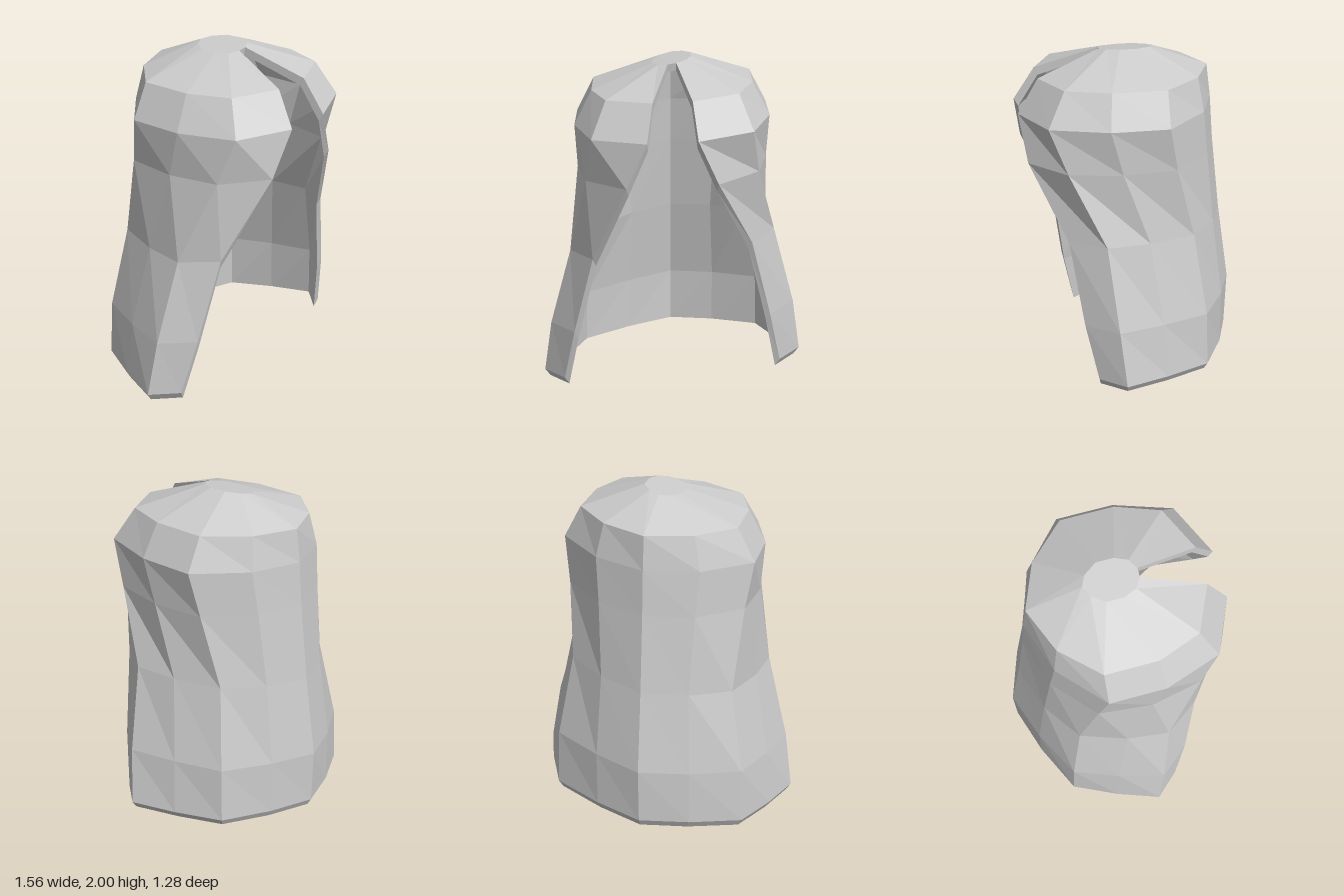
import * as THREE from 'three';

// Half rings from the front slit round to the back: [x, z] pairs.
// Each ring's height is y at the centre, plus a sideways tilt.
const RINGS = [
  { y: 1.98, tilt: 0.18, half: [[0.025, 0.16], [0.08, 0.125], [0.11, 0.05], [0.11, -0.05], [0.06, -0.125], [0, -0.155]] },
  { y: 1.85, tilt: 0.05, half: [[0.11, 0.52], [0.37, 0.4], [0.46, 0.15], [0.46, -0.16], [0.26, -0.37], [0, -0.475]] },
  { y: 1.655, tilt: 0.05, half: [[0.14, 0.64], [0.45, 0.5], [0.56, 0.17], [0.56, -0.16], [0.3, -0.4], [0, -0.5]] },
  { y: 1.39, tilt: 0.055, half: [[0.255, 0.6], [0.49, 0.4], [0.55, 0.1], [0.52, -0.21], [0.28, -0.43], [0, -0.52]] },
  { y: 0.935, tilt: 0.11, half: [[0.46, 0.4], [0.6, 0.2], [0.57, -0.05], [0.48, -0.32], [0.26, -0.48], [0, -0.57]] },
  { y: 0.45, tilt: 0.095, half: [[0.58, 0.33], [0.73, 0.15], [0.66, -0.12], [0.56, -0.39], [0.28, -0.54], [0, -0.64]] },
  { y: 0.12, tilt: 0.09, half: [[0.65, 0.26], [0.78, 0.115], [0.69, -0.14], [0.57, -0.4], [0.28, -0.54], [0, -0.63]] },
];
const LAST_ROW = RINGS.length - 1;
const LAST_COL = 10;

// Mirror each half ring; the lining is a slightly smaller, lower copy
function makeGrid(scale, drop) {
  return RINGS.map(({ y, tilt, half }) => {
    const mirrored = half.slice(0, -1).reverse().map(([x, z]) => [-x, z]);
    return [...half, ...mirrored].map(([x, z]) => [x * scale, y + tilt * x - drop, z * scale]);
  });
}

function makeMesh(name, material, triangles) {
  const geometry = new THREE.BufferGeometry();
  geometry.setAttribute('position', new THREE.Float32BufferAttribute(triangles.flat(), 3));
  geometry.computeVertexNormals();
  const mesh = new THREE.Mesh(geometry, material);
  mesh.name = name;
  return mesh;
}

const quad = (a, b, c, d) => [a, b, c, a, c, d];

// Walls plus crown cap, facing outward or inward
function shell(grid, inward) {
  const tris = [];
  for (let r = 0; r < LAST_ROW; r++) {
    for (let i = 0; i < LAST_COL; i++) {
      tris.push(...quad(grid[r][i], grid[r + 1][i], grid[r + 1][i + 1], grid[r][i + 1]));
    }
  }
  const centre = [0, grid[0][5][1], 0];
  grid[0].forEach((p, i) => tris.push(centre, p, grid[0][(i + 1) % grid[0].length]));
  return inward ? tris.reverse() : tris;
}

export function createModel() {
  const cloth = new THREE.MeshStandardMaterial({ color: 0xcccccc });
  cloth.name = 'light grey';
  cloth.flatShading = true;

  const group = new THREE.Group();
  group.name = 'hoodedCape';
  const outer = makeGrid(1, 0);
  const inner = makeGrid(0.96, 0.045);

  group.add(makeMesh('outerShell', cloth, shell(outer, false)));
  group.add(makeMesh('innerLining', cloth, shell(inner, true)));

  // Bottom hem joining shell and lining
  const hem = [];
  for (let i = 0; i < LAST_COL; i++) {
    hem.push(...quad(outer[LAST_ROW][i], inner[LAST_ROW][i], inner[LAST_ROW][i + 1], outer[LAST_ROW][i + 1]));
  }
  group.add(makeMesh('hem', cloth, hem));

  // Edges of the front slit, closed across the crown
  const left = [];
  const right = [];
  for (let r = 0; r < LAST_ROW; r++) {
    left.push(...quad(inner[r][0], inner[r + 1][0], outer[r + 1][0], outer[r][0]));
    right.push(...quad(outer[r][LAST_COL], outer[r + 1][LAST_COL], inner[r + 1][LAST_COL], inner[r][LAST_COL]));
  }
  group.add(makeMesh('leftSlitEdge', cloth, left));
  group.add(makeMesh('rightSlitEdge', cloth, right));
  group.add(makeMesh('crownSlitEdge', cloth, quad(outer[0][LAST_COL], inner[0][LAST_COL], inner[0][0], outer[0][0])));

  return group;
}
